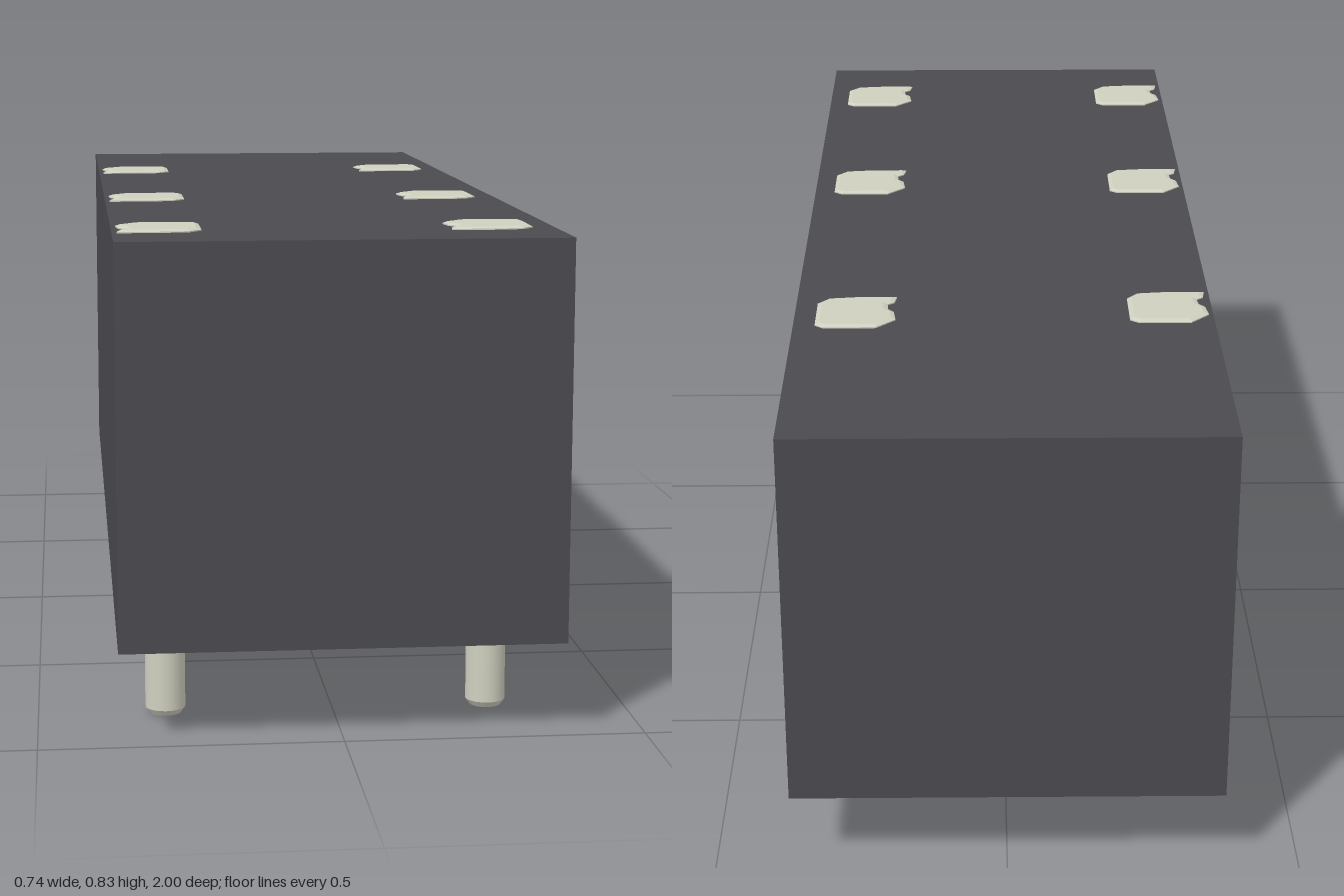
import * as THREE from 'three';

const BOTTOM = 0.156, TOP = 0.823, WIDTH = 0.736, LENGTH = 2;

// Contact positions: x and z of each pin, with the z of the pad above it
const CONTACTS = [
  [-0.285, 0.805, 0.795], [0.265, 0.805, 0.793],
  [-0.285, 0.228, 0.215], [0.265, 0.228, 0.213],
  [-0.285, -0.452, -0.462], [0.265, -0.466, -0.48],
];

// Thin worn pad with a clipped corner and a notched edge
function padGeometry() {
  const outline = [
    [-0.07, 0.035], [-0.037, 0.07], [0.055, 0.07], [0.07, 0.058],
    [0.07, -0.04], [0.05, -0.064], [0.0, -0.07], [-0.07, -0.07],
    [-0.066, -0.045], [-0.054, -0.035], [-0.056, -0.012], [-0.066, 0.0],
  ].map(([x, y]) => new THREE.Vector2(x, y));
  const geometry = new THREE.ExtrudeGeometry(new THREE.Shape(outline), {
    depth: 0.003, bevelThickness: 0.003, bevelSize: 0.008, bevelOffset: -0.008, bevelSegments: 1,
  });
  geometry.rotateX(-Math.PI / 2);
  return geometry;
}

// Round pin with a chamfered foot, reaching slightly into the body
function pinGeometry() {
  const profile = [[0, 0], [0.027, 0], [0.027, 0], [0.034, 0.01], [0.034, 0.01], [0.034, BOTTOM + 0.01]];
  return new THREE.LatheGeometry(profile.map(([r, y]) => new THREE.Vector2(r, y)), 20);
}

export function createModel() {
  const model = new THREE.Group();
  model.name = 'pinnedBlock';

  const bodyMaterial = new THREE.MeshStandardMaterial({ color: 0x4b4a4f });
  bodyMaterial.name = 'dark grey plastic';
  const metalMaterial = new THREE.MeshStandardMaterial({ color: 0xd0d0c0 });
  metalMaterial.name = 'pale metal';

  const add = (name, geometry, material, x, y, z) => {
    const mesh = new THREE.Mesh(geometry, material);
    mesh.name = name;
    mesh.position.set(x, y, z);
    model.add(mesh);
  };

  // Main block
  add('body', new THREE.BoxGeometry(WIDTH, TOP - BOTTOM, LENGTH), bodyMaterial, 0, (TOP + BOTTOM) / 2, 0);

  // Pins below and matching pads on top
  const pin = pinGeometry(), pad = padGeometry();
  CONTACTS.forEach(([x, z, padZ], i) => {
    add(`pin${i + 1}`, pin, metalMaterial, x, 0, z);
    add(`topPad${i + 1}`, pad, metalMaterial, x - 0.005, TOP - 0.001, padZ);
  });
  return model;
}
